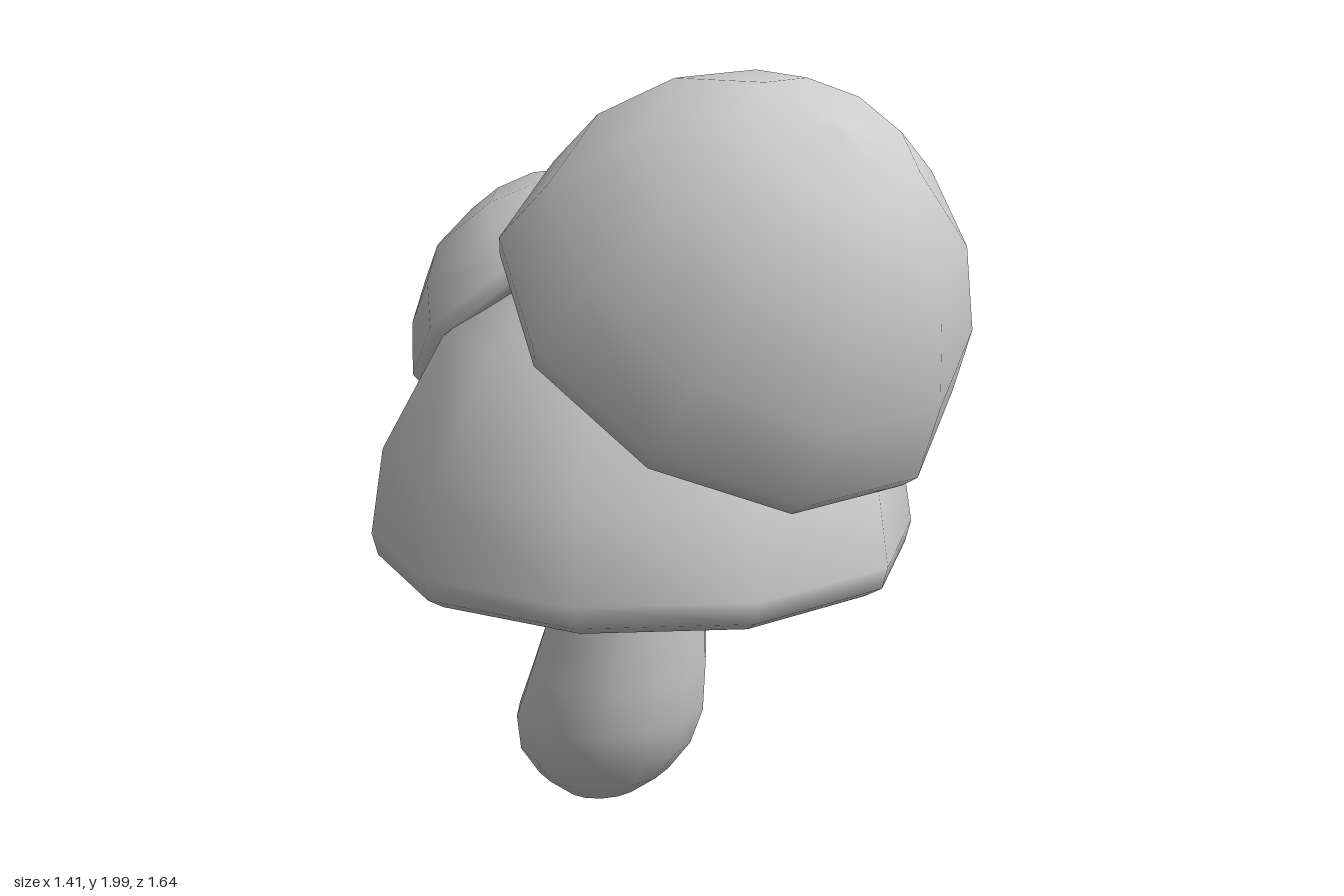
import * as THREE from 'three';
import { mergeVertices } from 'three/addons/utils/BufferGeometryUtils.js';

const material = new THREE.MeshStandardMaterial({ color: 0xcccccc });

// Ten-sided dome with a flat underside and a rounded rim; profile is [radius, height]
function dome(name, profile, position, tiltX, rollZ) {
  const points = profile.map(([r, h]) => new THREE.Vector2(r, h));
  const mesh = new THREE.Mesh(new THREE.LatheGeometry(points, 10, Math.PI / 2), material);
  mesh.name = name;
  mesh.position.set(...position);
  mesh.rotation.set(tiltX, 0, rollZ);
  return mesh;
}

// Bent trunk: sections are [y, half width x, half depth z, centre z]
function trunk() {
  const sections = [
    [0.005, 0, 0, -0.27], [0.03, 0.105, 0.09, -0.268], [0.09, 0.186, 0.168, -0.263],
    [0.17, 0.243, 0.22, -0.254], [0.27, 0.267, 0.238, -0.234], [0.4, 0.251, 0.217, -0.197],
    [0.53, 0.231, 0.194, -0.167], [0.66, 0.214, 0.175, -0.144], [0.85, 0.19, 0.15, -0.12],
    [0.85, 0, 0, -0.12],
  ];
  const n = sections.length;
  const points = sections.map(([y, rx]) => new THREE.Vector2(rx, y));
  const geo = new THREE.LatheGeometry(points, 14, Math.PI / 2);
  const pos = geo.attributes.position;
  for (let i = 0; i < pos.count; i++) {
    const [, rx, rz, cz] = sections[i % n];
    pos.setZ(i, cz + (rx ? pos.getZ(i) * rz / rx : 0));
  }
  geo.deleteAttribute('uv');
  geo.deleteAttribute('normal');
  const smooth = mergeVertices(geo, 1e-4);
  smooth.computeVertexNormals();
  const mesh = new THREE.Mesh(smooth, material);
  mesh.name = 'trunk';
  return mesh;
}

export function createModel() {
  const group = new THREE.Group();
  group.name = 'mushroomTree';
  group.add(trunk());

  // Wide lower canopy
  group.add(dome('lowerCanopy', [
    [0, 0], [0.62, 0], [0.645, 0.002], [0.69, 0.028], [0.705, 0.085], [0.67, 0.31],
    [0.51, 0.6], [0.265, 0.79], [0, 0.84],
  ], [0, 0.718, -0.095], 0, 0));

  // Large canopy leaning forward
  group.add(dome('frontCanopy', [
    [0, 0], [0.535, 0], [0.56, 0.002], [0.585, 0.015], [0.605, 0.065], [0.555, 0.265],
    [0.42, 0.494], [0.217, 0.648], [0, 0.69],
  ], [0, 1.36, 0.2], 0.66, 0.02));

  // Small canopy leaning backward
  group.add(dome('backCanopy', [
    [0, 0], [0.415, 0], [0.428, 0.002], [0.443, 0.012], [0.455, 0.045], [0.4, 0.18],
    [0.32, 0.278], [0.165, 0.371], [0, 0.4],
  ], [0.035, 1.3, -0.41], -0.688, 0));

  return group;
}
